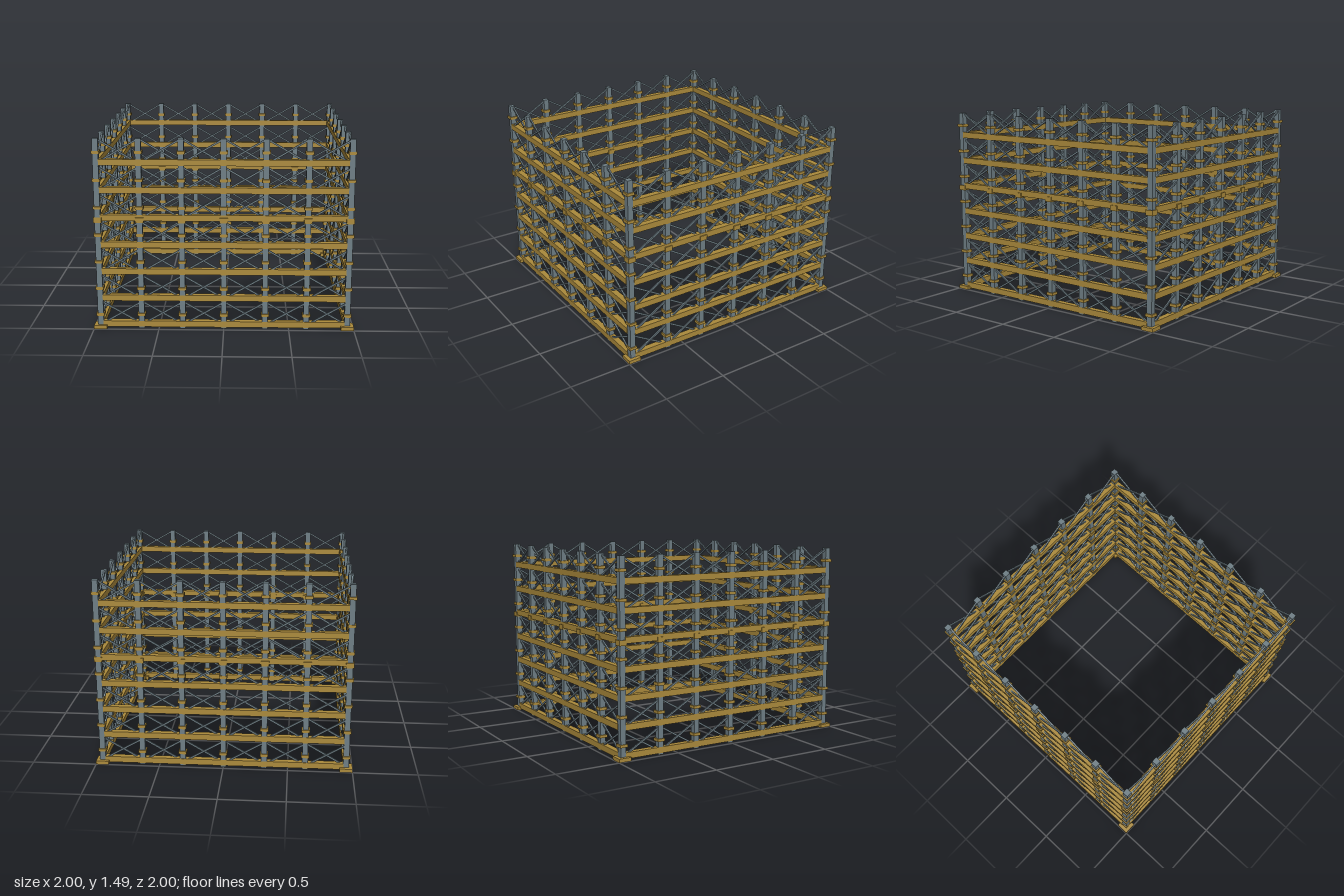
import * as THREE from 'three';

const HALF = 0.95;          // wall centre line
const BAYS = 6;
const LEVELS = 7;
const BAY = (2 * HALF) / BAYS;
const STEP = 0.2117;        // storey height
const TOP = 1.485;

export function createModel() {
  const model = new THREE.Group();
  model.name = 'towerFrame';
  const steel = new THREE.MeshStandardMaterial({ color: 0x6f7f86 });
  steel.name = 'greySteel';
  const gold = new THREE.MeshStandardMaterial({ color: 0xac8b3c });
  gold.name = 'ochreSteel';

  const add = (parent, name, geometry, material, x, y, z) => {
    const mesh = new THREE.Mesh(geometry, material);
    mesh.name = name;
    mesh.position.set(x, y, z);
    parent.add(mesh);
    return mesh;
  };

  // Shared geometries
  const columnGeo = new THREE.BoxGeometry(0.044, TOP, 0.044);
  const collarGeo = new THREE.BoxGeometry(0.062, 0.022, 0.062);
  const spliceGeo = new THREE.BoxGeometry(0.062, 0.04, 0.062);
  const beamGeo = new THREE.BoxGeometry(1.86, 0.047, 0.047);
  const padGeo = new THREE.BoxGeometry(0.1, 0.028, 0.1);
  const rise = 0.166, run = 0.284;
  const braceGeo = new THREE.BoxGeometry(Math.hypot(rise, run), 0.013, 0.012);

  // One wall, rotated around to make all four sides
  for (let side = 0; side < 4; side++) {
    const wall = new THREE.Group();
    wall.name = ['frontWall', 'leftWall', 'backWall', 'rightWall'][side];
    wall.rotation.y = side * Math.PI / 2;
    model.add(wall);

    // Columns with collars and a mid-height splice; each wall owns one corner
    for (let i = 0; i < BAYS; i++) {
      const x = -HALF + i * BAY;
      add(wall, 'column', columnGeo, steel, x, TOP / 2, HALF);
      add(wall, 'splice', spliceGeo, gold, x, 0.865, HALF);
      for (let k = 0; k < LEVELS; k++) {
        add(wall, 'collar', collarGeo, gold, x, 0.112 + k * STEP, HALF);
      }
    }
    add(wall, 'basePad', padGeo, gold, -HALF, 0.014, HALF);

    // Floor beams and crossed braces
    for (let k = 0; k < LEVELS; k++) {
      const y = 0.035 + k * STEP;
      add(wall, 'beam', beamGeo, gold, 0, y, HALF);
      for (let i = 0; i < BAYS; i++) {
        const x = -HALF + (i + 0.5) * BAY;
        for (const s of [-1, 1]) {
          const brace = add(wall, 'crossBrace', braceGeo, steel, x, y + 0.084, HALF + s * 0.007);
          brace.rotation.z = s * Math.atan2(rise, run);
        }
      }
    }
  }
  return model;
}
